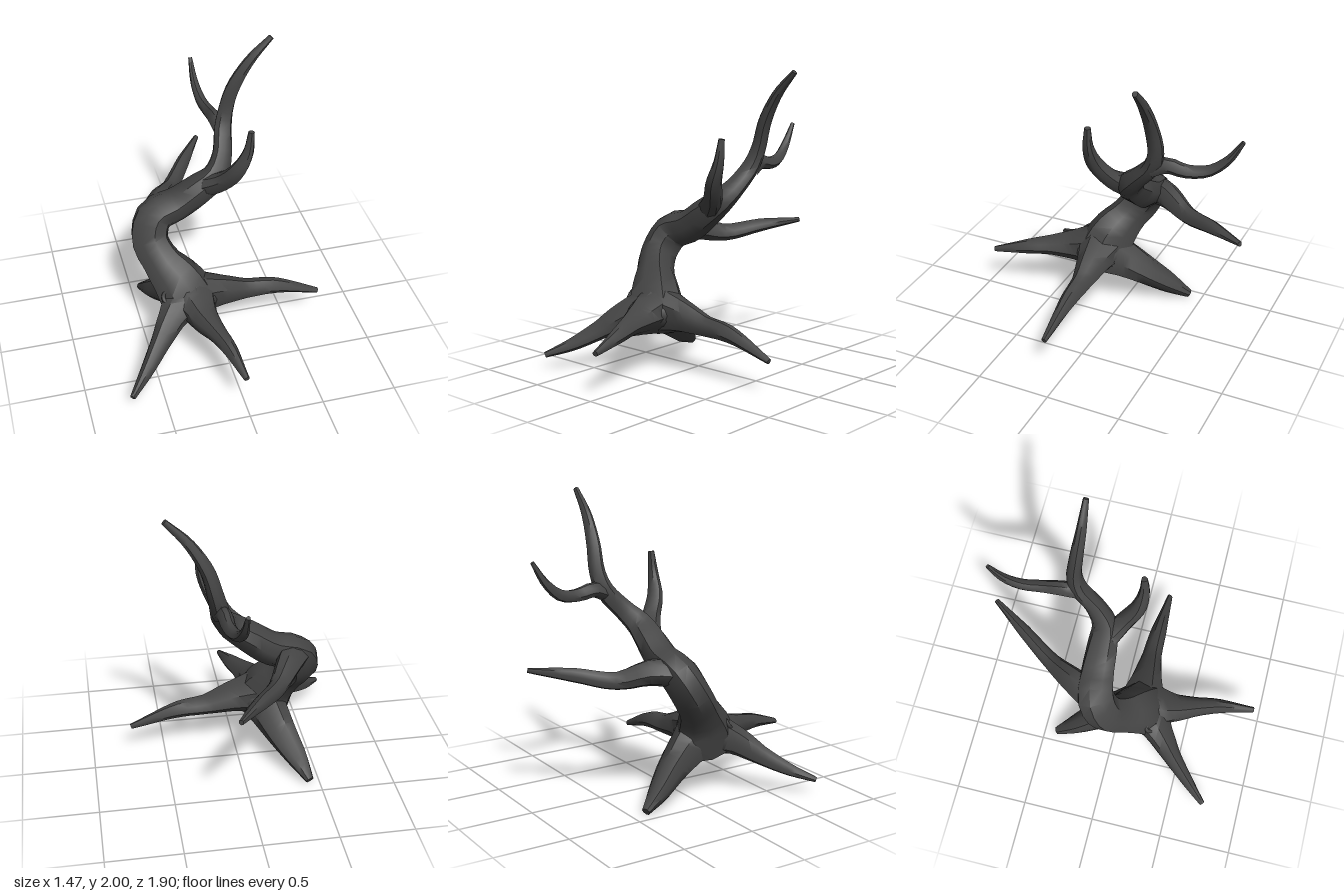
import * as THREE from 'three';
import { toCreasedNormals } from 'three/addons/utils/BufferGeometryUtils.js';

const SIDES = 9;
const bark = new THREE.MeshStandardMaterial({ color: 0x444444 });

// Tapered limb swept along a spline; each point is [x, y, z, radius]
function limb(name, points, segments = 14, phase = 0) {
  const curve = new THREE.CatmullRomCurve3(points.map(p => new THREE.Vector3(p[0], p[1], p[2])));
  const frames = curve.computeFrenetFrames(segments);
  const positions = [], index = [];
  for (let i = 0; i <= segments; i++) {
    const t = curve.getUtoTmapping(i / segments) * (points.length - 1);
    const k = Math.min(Math.floor(t), points.length - 2);
    const radius = THREE.MathUtils.lerp(points[k][3], points[k + 1][3], t - k);
    const centre = curve.getPointAt(i / segments);
    for (let j = 0; j < SIDES; j++) {
      const a = (j / SIDES) * Math.PI * 2 + phase;
      // gentle ridges that wander along the limb
      const r = radius * (1.03 + 0.07 * Math.sin(3 * a + i * 0.25 + phase));
      const v = centre.clone()
        .addScaledVector(frames.normals[i], Math.cos(a) * r)
        .addScaledVector(frames.binormals[i], Math.sin(a) * r);
      positions.push(v.x, Math.max(v.y, 0), v.z);
    }
  }
  for (let i = 0; i < segments; i++) {
    for (let j = 0; j < SIDES; j++) {
      const a = i * SIDES + j, b = i * SIDES + (j + 1) % SIDES;
      index.push(a, b, b + SIDES, a, b + SIDES, a + SIDES);
    }
  }
  // blunt cut tip
  const last = segments * SIDES;
  for (let j = 1; j < SIDES - 1; j++) index.push(last, last + j, last + j + 1);

  const geometry = new THREE.BufferGeometry();
  geometry.setAttribute('position', new THREE.Float32BufferAttribute(positions, 3));
  geometry.setIndex(index);
  const mesh = new THREE.Mesh(toCreasedNormals(geometry, 0.75), bark);
  mesh.name = name;
  return mesh;
}

export function createModel() {
  const model = new THREE.Group();
  model.name = 'driftwood';

  // Trunk curling up from the root crown into the tallest tip
  model.add(limb('trunk', [
    [-0.2, 0.34, 0.18, 0.2], [-0.27, 0.5, 0.13, 0.17], [-0.36, 0.63, 0.04, 0.125],
    [-0.41, 0.75, -0.05, 0.125], [-0.36, 0.88, -0.12, 0.125], [-0.2, 0.94, -0.14, 0.11],
    [-0.05, 1.04, -0.14, 0.1], [0.06, 1.12, -0.15, 0.085], [0.13, 1.22, -0.23, 0.065],
    [0.17, 1.36, -0.35, 0.058], [0.2, 1.48, -0.385, 0.05], [0.25, 1.65, -0.38, 0.045],
    [0.36, 1.84, -0.37, 0.033], [0.5, 1.99, -0.37, 0.018],
  ], 40));

  // Branches
  model.add(limb('frontBranch', [
    [-0.03, 1.06, -0.14, 0.08], [0.09, 1.15, -0.04, 0.062], [0.17, 1.28, 0.045, 0.052],
    [0.23, 1.42, 0.065, 0.035], [0.25, 1.57, 0.06, 0.02],
  ], 14, 1));
  model.add(limb('backBranch', [
    [0.17, 1.33, -0.34, 0.05], [0.15, 1.37, -0.44, 0.05], [0.14, 1.35, -0.57, 0.042],
    [0.11, 1.37, -0.71, 0.036], [0.09, 1.46, -0.82, 0.027], [0.085, 1.6, -0.91, 0.013],
  ], 14, 2));
  model.add(limb('lowBranch', [
    [-0.38, 0.88, -0.1, 0.1], [-0.29, 0.89, -0.28, 0.085], [-0.18, 0.84, -0.47, 0.058],
    [-0.03, 0.88, -0.7, 0.045], [0.13, 0.91, -0.94, 0.016],
  ], 14, 3));

  // Root crown
  const crown = new THREE.Mesh(new THREE.SphereGeometry(1, 14, 10), bark);
  crown.name = 'rootCrown';
  crown.scale.set(0.2, 0.13, 0.19);
  crown.position.set(-0.2, 0.4, 0.18);
  model.add(crown);

  // Roots
  model.add(limb('leftRoot', [
    [-0.2, 0.41, 0.17, 0.17], [0, 0.39, 0.16, 0.11], [0.2, 0.35, 0.15, 0.067],
    [0.4, 0.33, 0.15, 0.055], [0.73, 0.217, 0.16, 0.018],
  ], 16, 0.5));
  model.add(limb('frontRoot', [
    [-0.2, 0.41, 0.2, 0.16], [-0.16, 0.38, 0.4, 0.1], [-0.11, 0.37, 0.55, 0.066],
    [-0.06, 0.35, 0.7, 0.05], [-0.01, 0.295, 0.945, 0.018],
  ], 16, 1.5));
  model.add(limb('rightRoot', [
    [-0.22, 0.42, 0.18, 0.16], [-0.36, 0.36, 0.33, 0.095], [-0.48, 0.26, 0.46, 0.063],
    [-0.6, 0.17, 0.6, 0.042], [-0.72, 0.105, 0.74, 0.018],
  ], 14, 2.5));
  model.add(limb('backRoot', [
    [-0.2, 0.39, 0.15, 0.17], [-0.24, 0.32, 0.02, 0.13], [-0.3, 0.22, -0.13, 0.1],
    [-0.37, 0.12, -0.27, 0.072], [-0.43, 0.03, -0.41, 0.028],
  ], 14, 3.5));

  // Knot hole rim above the right root
  const knot = new THREE.Mesh(new THREE.TorusGeometry(0.042, 0.014, 6, 12), bark);
  knot.name = 'knotRim';
  knot.position.set(-0.36, 0.49, 0.27);
  knot.lookAt(-0.56, 0.74, 0.62);
  model.add(knot);

  return model;
}
